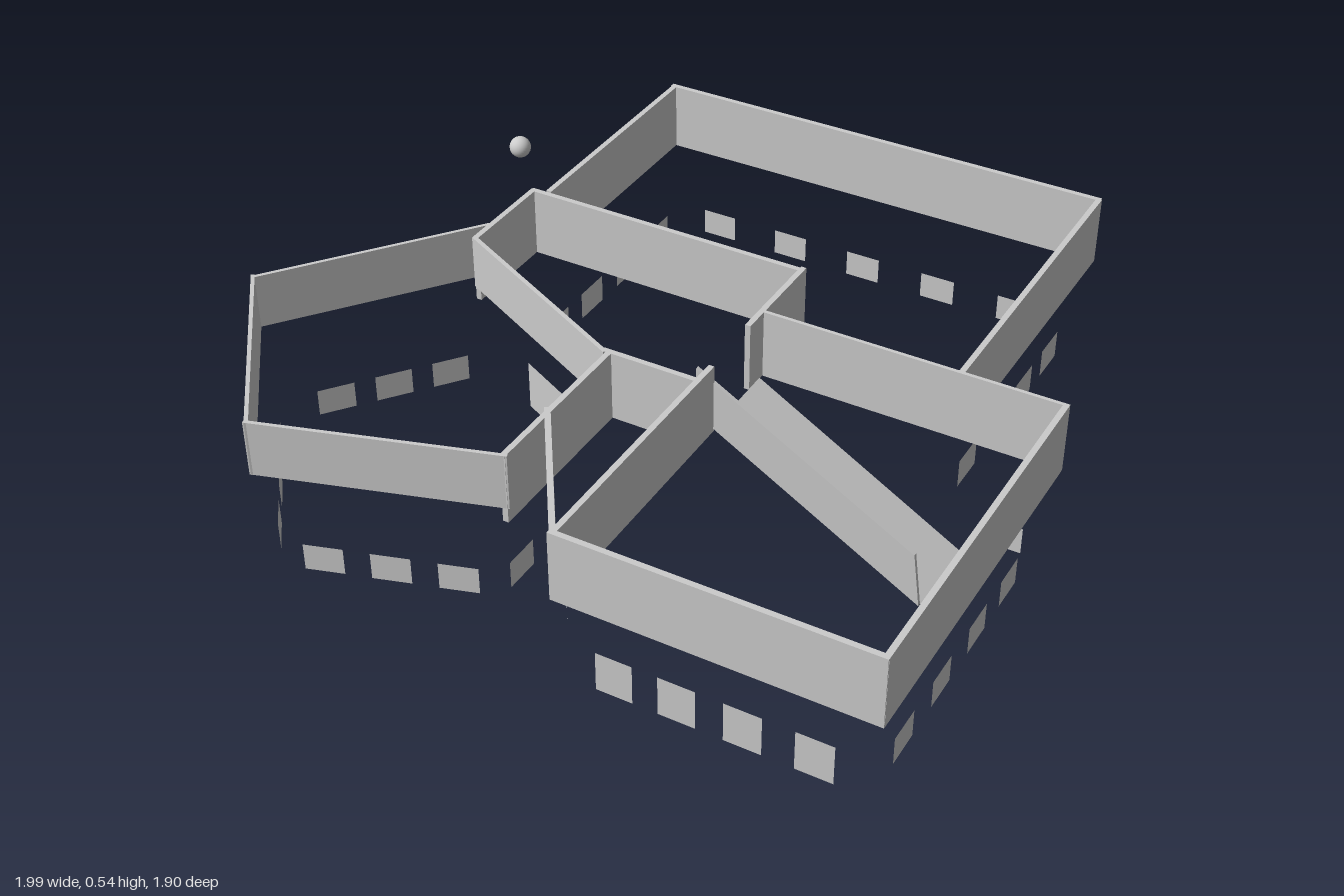
import * as THREE from 'three';

export function createModel() {
  const model = new THREE.Group();
  const mat = new THREE.MeshStandardMaterial({ color: 0xcccccc, side: THREE.DoubleSide });

  const add = (geometry, name, x = 0, y = 0, z = 0, turn = 0) => {
    const mesh = new THREE.Mesh(geometry, mat);
    mesh.name = name;
    mesh.position.set(x, y, z);
    mesh.rotation.y = turn;
    model.add(mesh);
    return mesh;
  };

  // Upright slab between two floor plan points
  const wall = (name, [x1, z1], [x2, z2], bottom = 0.35, thick = 0.015) => {
    const top = 0.54;
    const length = Math.hypot(x2 - x1, z2 - z1);
    add(new THREE.BoxGeometry(length, top - bottom, thick), name,
      (x1 + x2) / 2, (top + bottom) / 2, (z1 + z2) / 2, -Math.atan2(z2 - z1, x2 - x1));
  };

  // Thin hanging panel, turned to follow a plan direction
  const panel = (x, z, dx, dz, width = 0.1, low = 0.095, high = 0.17) =>
    add(new THREE.PlaneGeometry(width, high - low), 'panel',
      x, (low + high) / 2, z, -Math.atan2(dz, dx));

  // Rear room
  wall('rearRoomBackWall', [-0.575, -0.95], [0.73, -0.95]);
  wall('rearRoomLeftWall', [0.725, -0.95], [0.725, -0.05]);
  wall('rearRoomRightWall', [-0.565, -0.95], [-0.565, -0.27]);

  // Central hall
  wall('hallBackWall', [-0.61, -0.257], [0.2, -0.257]);
  wall('hallRightWall', [-0.605, -0.26], [-0.605, 0.02]);
  wall('hallLeftWall', [0.195, -0.27], [0.195, 0.03]);
  wall('hallFrontWall', [-0.06, 0.287], [0.205, 0.287]);

  // Front room
  wall('frontRoomBackWall', [0.19, -0.045], [0.995, -0.045], 0.35, 0.01);
  wall('frontRoomLeftWall', [0.988, -0.045], [0.988, 0.93]);
  wall('frontRoomFrontWall', [0.19, 0.925], [0.995, 0.925]);
  wall('frontRoomRightWall', [0.2, 0.22], [0.2, 0.93]);
  wall('slantedWall', [-0.05, 0.55], [0.2, 0.925]);

  // Five-sided room
  wall('pentagonRearWall', [-0.61, -0.055], [-0.99, 0.45], 0.39, 0.01);
  wall('pentagonFrontRightWall', [-0.993, 0.44], [-0.615, 0.94], 0.39, 0.01);
  wall('pentagonFrontWall', [-0.625, 0.938], [-0.03, 0.748], 0.39, 0.01);
  wall('pentagonLeftWall', [-0.04, 0.285], [-0.04, 0.755]);
  wall('pentagonHallWall', [-0.61, 0.018], [-0.05, 0.293], 0.39, 0.012);

  // Panels of the rear room
  for (let i = 0; i < 5; i++) panel(0.53 - i * 0.2325, -0.925, 1, 0);
  for (const z of [-0.235, -0.415, -0.605, -0.785]) {
    panel(0.69, z, 0, 1, 0.11, 0.09);
    panel(-0.53, z, 0, 1, 0.11, 0.09);
  }

  // Panels of the front room
  for (const x of [0.325, 0.485, 0.65, 0.825]) panel(x, 0.893, 1, 0, 0.095, 0.09, 0.2);
  for (const z of [0.73, 0.53, 0.33, 0.145]) panel(0.96, z, 0, 1);
  panel(0.885, -0.01, 1, 0, 0.09);
  panel(0.1, 0.73, 0.25, 0.375, 0.09, 0.09, 0.19);

  // Panels of the five-sided room
  [[-0.67, 0.08], [-0.765, 0.205], [-0.86, 0.33]].forEach(([x, z]) => {
    panel(x, z, -0.38, 0.5);
    panel(x, 0.895 - z, 0.38, 0.5);
  });
  [[-0.495, 0.87], [-0.335, 0.82], [-0.175, 0.77]].forEach(([x, z]) => panel(x, z, 0.59, -0.19));
  panel(-0.075, 0.65, 0, 1);
  panel(-0.335, 0.1, 0.55, 0.27, 0.235, 0.08, 0.22);

  // Extrude a side outline along z
  const side = (name, points, z, depth) => add(new THREE.ExtrudeGeometry(
    new THREE.Shape(points.map(([x, y]) => new THREE.Vector2(x, y))),
    { depth, bevelEnabled: false }), name, 0, 0, z);

  // Ramp and its solid handrail
  side('ramp', [[0.21, 0.355], [0.825, 0], [0.83, 0.008], [0.21, 0.365]], -0.01, 0.22);
  side('handrail', [[0.16, 0.385], [0.77, 0.035], [0.75, 0.185], [0.16, 0.52]], 0.213, 0.01);

  // Small ball behind the rooms
  add(new THREE.SphereGeometry(0.03, 32, 16), 'ball', -0.82, 0.48, -0.52);

  return model;
}
